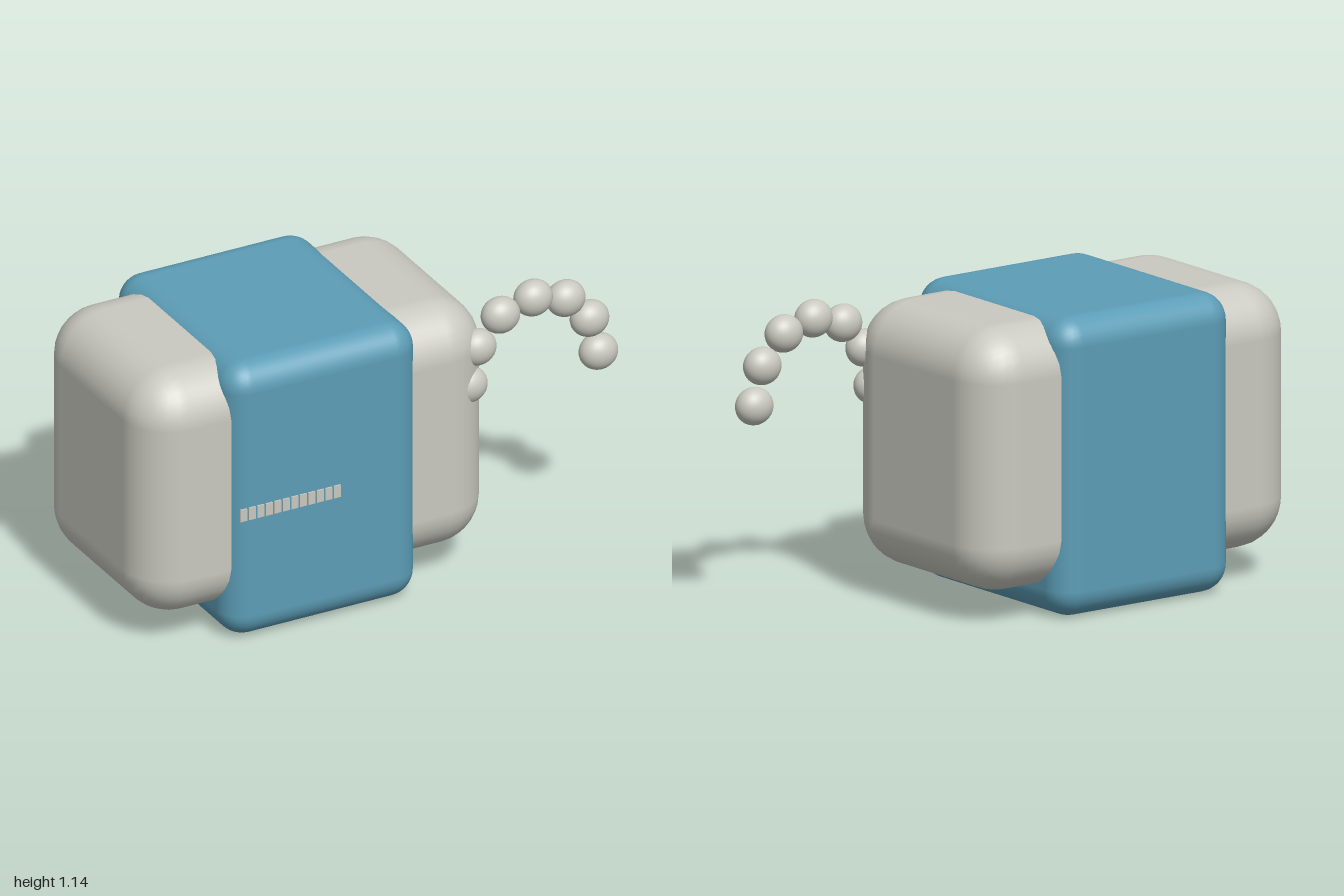
import * as THREE from 'three';
import { RoundedBoxGeometry } from 'three/addons/geometries/RoundedBoxGeometry.js';

export function createModel() {
  const model = new THREE.Group();
  model.name = 'bandedBlock';

  const grey = new THREE.MeshStandardMaterial({ color: 0xc9c9c0 });
  grey.name = 'warm grey';
  const blue = new THREE.MeshStandardMaterial({ color: 0x5c9db6 });
  blue.name = 'dusty blue';

  // Rounded box given by its opposite corners
  const roundedBox = (name, min, max, radius, material) => {
    const size = max.map((v, i) => v - min[i]);
    const mesh = new THREE.Mesh(new RoundedBoxGeometry(...size, 4, radius), material);
    mesh.position.set(...max.map((v, i) => (v + min[i]) / 2));
    mesh.name = name;
    model.add(mesh);
  };

  // Main block and the wide band wrapped around it
  roundedBox('body', [-1, 0.11, -0.46], [0.46, 1.11, 0.4], 0.19, grey);
  roundedBox('band', [-0.675, 0, -0.497], [0.13, 1.13, 0.437], 0.105, blue);

  // Arched string of beads, mirrored about its top bead
  const beads = new THREE.Group();
  beads.name = 'beadArch';
  const beadGeometry = new THREE.SphereGeometry(1, 32, 20);
  const addBead = (x, y) => {
    const bead = new THREE.Mesh(beadGeometry, grey);
    bead.name = 'bead';
    bead.scale.set(0.076, 0.071, 0.061);
    bead.position.set(x, y, 0.33);
    beads.add(bead);
  };
  addBead(0.646, 1.067);
  for (const [dx, y] of [[0.136, 1.03], [0.235, 0.922], [0.272, 0.776]]) {
    addBead(0.646 - dx, y);
    addBead(0.646 + dx, y);
  }
  model.add(beads);

  // Thin row of plain tiles standing off the front of the band
  const trim = new THREE.Group();
  trim.name = 'frontTrim';
  const tileGeometry = new THREE.BoxGeometry(0.028, 0.05, 0.006);
  const tiles = 12;
  for (let i = 0; i < tiles; i++) {
    const tile = new THREE.Mesh(tileGeometry, grey);
    tile.name = 'trimTile';
    tile.position.set(-0.65 + (0.39 * i) / (tiles - 1), 0.57, 0.494);
    trim.add(tile);
  }
  model.add(trim);

  return model;
}
